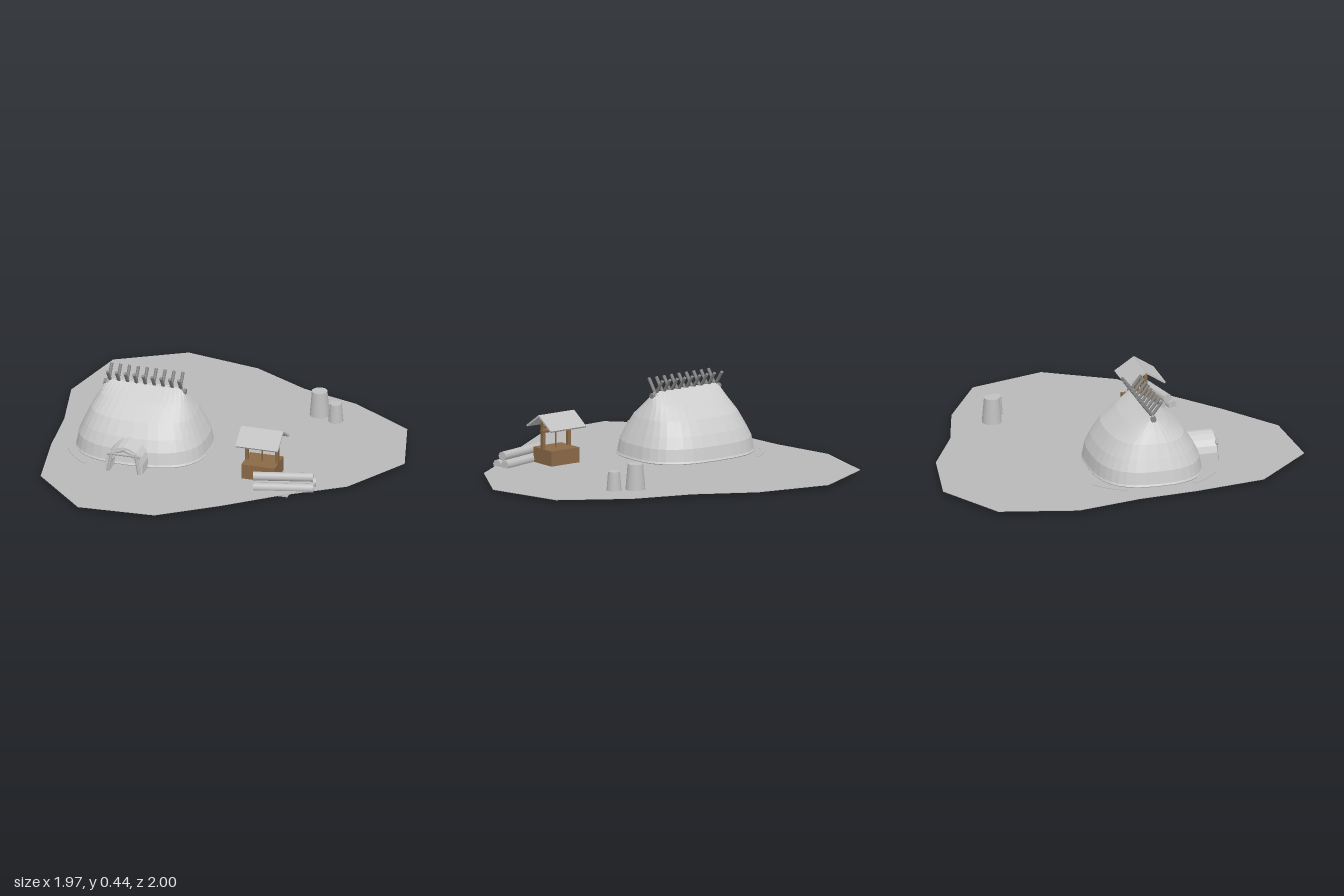
import * as THREE from 'three';

const mat = (name, color, side = THREE.FrontSide) => {
  const m = new THREE.MeshStandardMaterial({ color, side });
  m.name = name;
  return m;
};

export function createModel() {
  const model = new THREE.Group();
  model.name = 'snowHutCamp';
  const snow = mat('snow', 0xcccccc, THREE.DoubleSide);
  const ground = mat('groundGrey', 0xb8b8b8);
  const stone = mat('paleGrey', 0xc0c0c0);
  const pole = mat('poleGrey', 0x858585);
  const wood = mat('brown', 0x8a6946);

  const add = (parent, name, geo, material, x = 0, y = 0, z = 0) => {
    const m = new THREE.Mesh(geo, material);
    m.name = name;
    m.position.set(x, y, z);
    parent.add(m);
    return m;
  };
  const group = (name, x = 0, y = 0, z = 0) => {
    const g = new THREE.Group();
    g.name = name;
    g.position.set(x, y, z);
    model.add(g);
    return g;
  };
  const box = (w, h, d) => new THREE.BoxGeometry(w, h, d);
  // flat slab from an outline in x and z, hanging down from its mesh height
  const slab = (points, depth) => new THREE.ExtrudeGeometry(new THREE.Shape(points),
    { depth, bevelEnabled: false }).rotateX(Math.PI / 2);
  // round bar between two points
  const bar = (a, b, r, sides) => {
    const d = b.clone().sub(a);
    const g = new THREE.CylinderGeometry(r, r, d.length(), sides);
    g.applyQuaternion(new THREE.Quaternion().setFromUnitVectors(new THREE.Vector3(0, 1, 0), d.clone().normalize()));
    const c = a.clone().add(b).multiplyScalar(0.5);
    return g.translate(c.x, c.y, c.z);
  };
  const V = (x, y, z) => new THREE.Vector3(x, y, z);

  // ground sheet with an inset earth underside
  const outline = [[-0.52, -1], [-0.11, -0.92], [0.2, -0.75], [0.52, -0.65], [0.87, -0.43], [0.98, -0.02],
    [0.77, 0.34], [0.46, 0.55], [0.2, 0.76], [-0.11, 0.98], [-0.53, 1], [-0.83, 0.69], [-0.89, 0.3],
    [-0.915, -0.02], [-0.985, -0.38], [-0.88, -0.8]];
  const scaled = (s) => outline.map(([x, z]) => new THREE.Vector2(x * s, z * s));
  add(model, 'ground', slab(scaled(1), 0.003), ground, 0, 0.02, 0);
  add(model, 'earthUnderside', slab(scaled(0.955), 0.003), wood, 0, 0.0168, 0);

  // hut shell: rounded-oblong rings narrowing to a ridge
  const hut = group('hut', -0.418, 0, 0.132);
  const rings = [[0.008, 0.352, 0.292], [0.024, 0.362, 0.302], [0.034, 0.357, 0.297], [0.1, 0.346, 0.285],
    [0.16, 0.32, 0.255], [0.235, 0.286, 0.203], [0.305, 0.245, 0.115], [0.368, 0.212, 0.014]];
  const N = 36, pos = [], idx = [];
  for (const [y, hx, hz] of rings) {
    for (let i = 0; i < N; i++) {
      const a = (i / N) * Math.PI * 2, c = Math.cos(a), s = Math.sin(a), e = 2 / 2.7;
      pos.push(hx * Math.sign(c) * Math.abs(c) ** e, y, hz * Math.sign(s) * Math.abs(s) ** e);
    }
  }
  for (let r = 0; r < rings.length - 1; r++) {
    for (let i = 0; i < N; i++) {
      const a = r * N + i, b = r * N + (i + 1) % N;
      idx.push(a, a + N, b, b, a + N, b + N);
    }
  }
  const top = (rings.length - 1) * N;
  for (let i = 1; i < N - 1; i++) idx.push(top, top + i + 1, top + i);
  let shell = new THREE.BufferGeometry();
  shell.setAttribute('position', new THREE.Float32BufferAttribute(pos, 3));
  shell.setIndex(idx);
  shell = shell.toNonIndexed();
  shell.computeVertexNormals();
  add(hut, 'hutShell', shell, snow);

  // ridge pole and crossed poles along it
  add(hut, 'ridgePole', bar(V(-0.228, 0.35, 0), V(0.228, 0.35, 0), 0.016, 8), pole);
  for (let i = 0; i < 9; i++) {
    const x = -0.198 + i * 0.0495;
    for (const s of [-1, 1]) {
      add(hut, 'crossedPole', bar(V(x + s * 0.004, 0.335, -s * 0.022), V(x + s * 0.004, 0.436, s * 0.055), 0.009, 6), pole);
    }
  }

  // entrance tunnel: arched shell with a hollow
  const tunnel = group('entranceTunnel', -0.42, 0, 0.33);
  const arch = (w, h, S) => {
    const p = new S();
    p.moveTo(-w, 0.01);
    for (let i = 0; i <= 8; i++) {
      const a = Math.PI * (1 - i / 8);
      p.lineTo(w * Math.cos(a) * (1 - 0.12 * Math.sin(a)), h * 0.45 + h * 0.55 * Math.sin(a));
    }
    p.lineTo(w, 0.01);
    p.closePath();
    return p;
  };
  const archShape = arch(0.105, 0.165, THREE.Shape);
  // the hollow cuts through to the floor
  const wall = new THREE.Shape();
  const outer = archShape.getPoints().slice(0, 11);
  const inner = arch(0.078, 0.125, THREE.Shape).getPoints().slice(0, 11).reverse();
  wall.setFromPoints([...outer, ...inner]);
  add(tunnel, 'tunnelShell', new THREE.ExtrudeGeometry(wall, { depth: 0.19, bevelEnabled: false }), snow);
  // door frame of leaning poles
  for (const s of [-1, 1]) {
    add(tunnel, 'framePost', bar(V(s * 0.088, 0.012, 0.193), V(s * 0.066, 0.135, 0.193), 0.009, 6), stone);
    add(tunnel, 'frameRafter', bar(V(s * 0.092, 0.118, 0.193), V(-s * 0.01, 0.155, 0.193), 0.008, 6), stone);
  }
  add(tunnel, 'frameLintel', bar(V(-0.088, 0.125, 0.193), V(0.088, 0.125, 0.193), 0.009, 6), stone);

  // drifted arcs around the hut, the left pair breaking the surface
  for (let k = 0; k < 4; k++) {
    const mid = Math.PI / 4 + k * Math.PI / 2 - (k % 2 ? 0.06 : -0.06) * -1;
    const s = new THREE.Shape();
    s.absarc(0, 0, 0.418, mid - 0.25, mid + 0.25, false);
    s.absarc(0, 0, 0.4, mid + 0.25, mid - 0.25, true);
    const left = Math.cos(mid) < 0;
    add(hut, 'driftArc', new THREE.ExtrudeGeometry(s, { depth: left ? 0.013 : 0.005, bevelEnabled: false, curveSegments: 8 })
      .rotateX(Math.PI / 2), ground, 0, left ? 0.0225 : 0.0125, 0);
  }

  // well with a roof, winding axle and rope
  const well = group('well', 0.294, 0, 0.33);
  add(well, 'wellFooting', box(0.4, 0.008, 0.4), ground, 0, 0.006, 0);
  add(well, 'wellBox', box(0.185, 0.09, 0.16), wood, 0, 0.057, 0);
  for (const s of [-1, 1]) {
    add(well, 'wellPost', box(0.018, 0.25, 0.02), wood, s * 0.084, 0.135, 0.005);
    const panel = add(well, 'roofPanel', box(0.235, 0.01, 0.128), stone, 0, 0.25, s * 0.053);
    panel.rotation.x = s * 0.58;
  }
  add(well, 'axle', bar(V(-0.095, 0.2, 0.005), V(0.095, 0.2, 0.005), 0.013, 8), wood);
  add(well, 'rope', bar(V(0, 0.1, 0.005), V(0, 0.2, 0.005), 0.004, 6), wood);

  // stacked logs
  const logs = group('logPile', 0.447, 0, 0.44);
  logs.rotation.y = 0.24;
  for (const [y, z, shift] of [[0.03, 0.036, 0], [0.035, -0.028, 0.01], [0.078, 0.002, -0.004]]) {
    add(logs, 'log', bar(V(-0.16 + shift, y, z), V(0.16 + shift, y, z), 0.025, 8), stone);
  }

  // upturned tubs
  for (const [x, z, r, h] of [[0.37, -0.47, 0.055, 0.157], [0.475, -0.42, 0.042, 0.12]]) {
    add(model, 'tub', new THREE.CylinderGeometry(r * 0.76, r, h, 16), stone, x, h / 2 + 0.002, z);
  }
  return model;
}
